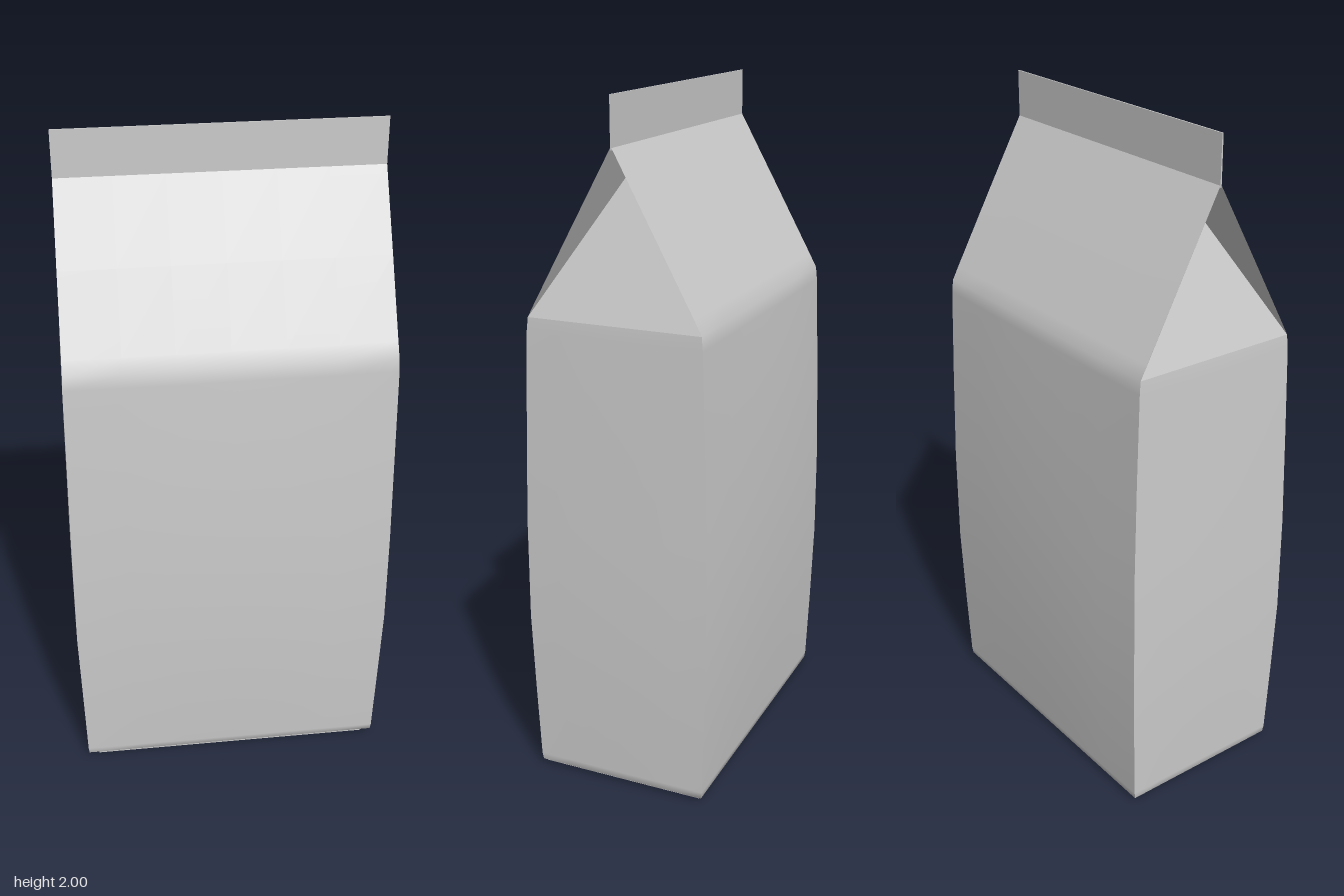
import * as THREE from 'three';

// Smooth grid surface through rows of points
function sheet(rows) {
  const n = rows[0].length, pos = [], idx = [];
  rows.forEach((row) => row.forEach((p) => pos.push(...p)));
  for (let r = 0; r < rows.length - 1; r++) {
    for (let c = 0; c < n - 1; c++) {
      const a = r * n + c, b = a + 1, d = a + n, e = d + 1;
      idx.push(a, b, e, a, e, d);
    }
  }
  const g = new THREE.BufferGeometry();
  g.setAttribute('position', new THREE.Float32BufferAttribute(pos, 3));
  g.setIndex(idx);
  g.computeVertexNormals();
  return g;
}

// Flat-faced polygon made of triangles
function facets(points) {
  const g = new THREE.BufferGeometry();
  g.setAttribute('position', new THREE.Float32BufferAttribute(points.flat(), 3));
  g.computeVertexNormals();
  return g;
}

export function createModel() {
  const bag = new THREE.Group();
  bag.name = 'gableTopBag';
  const paper = new THREE.MeshStandardMaterial({ color: 0xcccccc, side: THREE.DoubleSide });
  paper.name = 'greyPaper';

  const add = (parent, name, geometry) => {
    const m = new THREE.Mesh(geometry, paper);
    m.name = name;
    parent.add(m);
    return m;
  };

  // Outline: height, half width, half depth, bulge of the panels
  const wall = [
    [0.007, 0.452, 0.25, 0],
    [0.014, 0.461, 0.26, 0],
    [0.035, 0.463, 0.263, 0.001],
    [0.25, 0.468, 0.271, 0.005],
    [0.5, 0.474, 0.278, 0.008],
    [0.8, 0.472, 0.278, 0.009],
    [1.1, 0.468, 0.27, 0.007],
    [1.36, 0.465, 0.261, 0.002],
    [1.4, 0.463, 0.257, 0],
  ];
  const roof = [
    [1.44, 0.462, 0.236, 0],
    [1.65, 0.459, 0.121, 0],
    [1.87, 0.455, 0, 0],
  ];
  const steps = [-1, -0.65, -0.33, 0, 0.33, 0.65, 1];
  const dome = (t) => 1 - t * t;

  // Each half has a broad panel, a narrow panel and a folded gusset
  for (let i = 0; i < 2; i++) {
    const half = new THREE.Group();
    half.name = i ? 'backHalf' : 'frontHalf';
    half.rotation.y = i * Math.PI;
    bag.add(half);

    add(half, 'broadPanelAndRoof', sheet([...wall, ...roof].map(([y, w, d, b]) =>
      steps.map((t) => [t * w, y, d + b * dome(t)]))));

    add(half, 'sidePanel', sheet(wall.map(([y, w, d, b]) =>
      steps.map((t) => [w + b * 0.4 * dome(t), y, -t * d]))));

    // Gusset leans inward to a point under the ridge
    const front = [0.463, 1.4, 0.257], back = [0.463, 1.4, -0.257];
    const inner = [0.33, 1.8, 0], top = [0.455, 1.87, 0];
    add(half, 'gussetTriangle', facets([front, back, inner]));
    add(half, 'gussetFlanks', facets([front, inner, top, inner, back, top]));
  }

  // Sealed strip along the ridge
  const seal = add(bag, 'topSeal', new THREE.BoxGeometry(0.91, 0.14, 0.004));
  seal.position.y = 1.93;

  // Base and its folded flaps
  const base = add(bag, 'base', new THREE.BoxGeometry(0.904, 0.003, 0.5));
  base.position.y = 0.0075;
  for (const s of [-1, 1]) {
    const shape = new THREE.Shape([
      new THREE.Vector2(-0.43, 0.25 * s), new THREE.Vector2(0.43, 0.25 * s),
      new THREE.Vector2(0.18, 0), new THREE.Vector2(-0.18, 0),
    ]);
    const flap = add(bag, 'baseFlap', new THREE.ExtrudeGeometry(shape, { depth: 0.006, bevelEnabled: false }));
    flap.rotation.x = -Math.PI / 2;
  }
  return bag;
}
